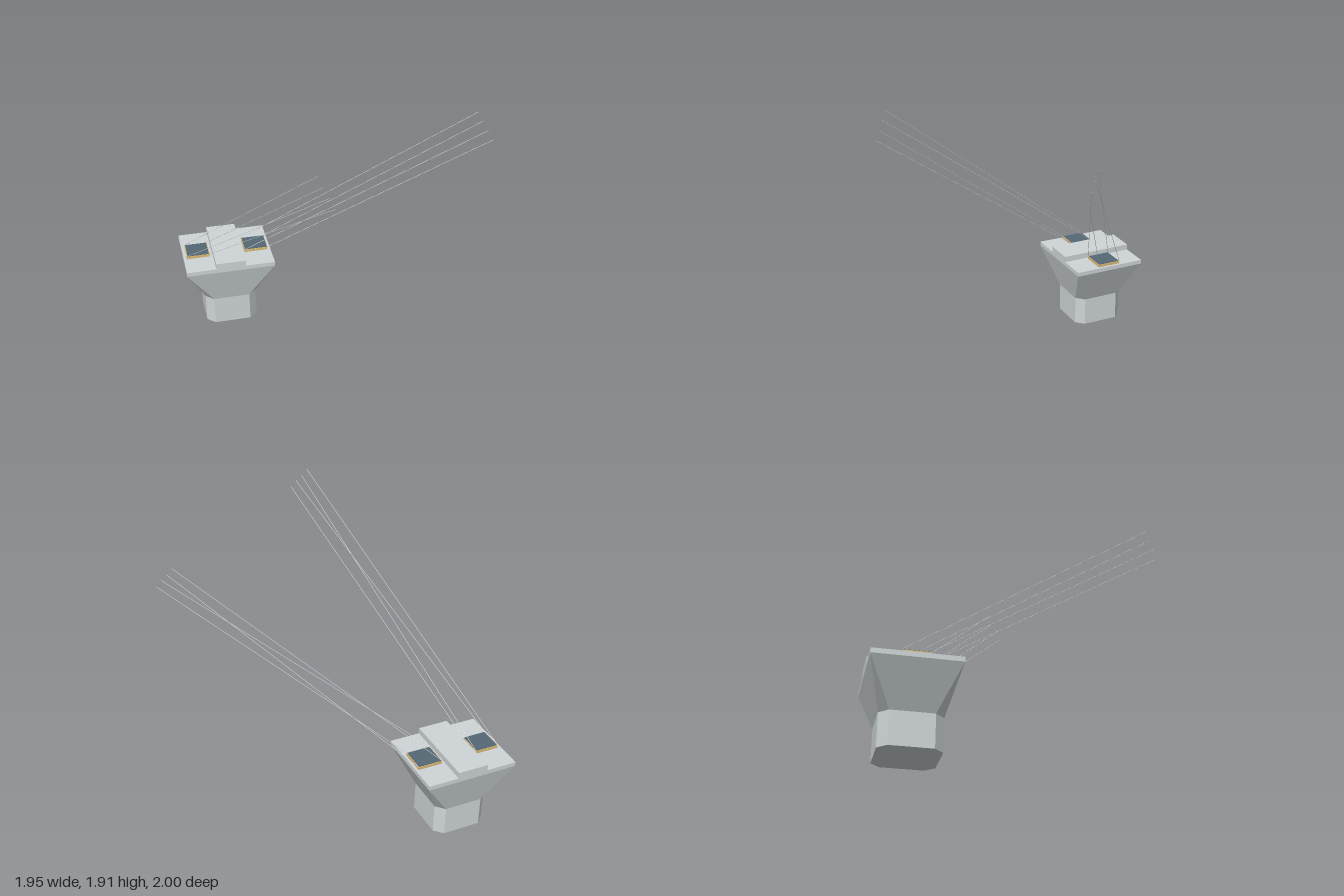
import * as THREE from 'three';

const mat = (name, color) => {
  const m = new THREE.MeshStandardMaterial({ color });
  m.name = name;
  return m;
};

export function createModel() {
  const concrete = mat('concrete', 0xcfd6d8);
  const gold = mat('gold', 0xdcbc78);
  const slate = mat('slate', 0x546875);
  const steel = mat('paleSteel', 0xdde1e3);
  concrete.flatShading = true;

  const model = new THREE.Group();
  const CX = -0.66, CZ = -0.736;

  const add = (name, geometry, material, parent = model) => {
    const mesh = new THREE.Mesh(geometry, material);
    mesh.name = name;
    parent.add(mesh);
    return mesh;
  };
  const box = (name, x0, x1, y0, y1, z0, z1, material, parent) =>
    add(name, new THREE.BoxGeometry(x1 - x0, y1 - y0, z1 - z0), material, parent)
      .position.set((x0 + x1) / 2, (y0 + y1) / 2, (z0 + z1) / 2);

  // Chamfered rectangle cross-section, eight points; no chamfer gives doubled corners
  const ring = (y, hx, hz, c) => [
    [hx, hz - c], [hx - c, hz], [c - hx, hz], [-hx, hz - c],
    [-hx, c - hz], [c - hx, -hz], [hx - c, -hz], [hx, c - hz],
  ].map(([x, z]) => new THREE.Vector3(CX + x, y, CZ + z));

  // Skin between two rings, skipping collapsed triangles
  const loft = (low, high, closeBottom) => {
    const pts = [];
    const tri = (a, b, c) => {
      if (a.distanceTo(b) > 1e-5 && b.distanceTo(c) > 1e-5 && c.distanceTo(a) > 1e-5) pts.push(a, b, c);
    };
    for (let i = 0; i < 8; i++) {
      const j = (i + 1) % 8;
      tri(low[i], high[j], low[j]);
      tri(low[i], high[i], high[j]);
      if (closeBottom && i > 0 && i < 7) tri(low[0], low[i], low[j]);
    }
    const g = new THREE.BufferGeometry().setFromPoints(pts);
    g.computeVertexNormals();
    return g;
  };

  // Pier: shaft, flared head, cap slab and raised middle block
  const base = ring(0, 0.184, 0.185, 0.055);
  const neck = ring(0.206, 0.184, 0.185, 0.055);
  const brim = ring(0.477, 0.314, 0.263, 0);
  add('shaft', loft(base, neck, true), concrete);
  add('flaredHead', loft(neck, brim, false), concrete);
  box('capSlab', CX - 0.314, CX + 0.314, 0.477, 0.507, CZ - 0.263, CZ + 0.263, concrete);
  box('middleBlock', CX - 0.105, CX + 0.105, 0.507, 0.549, CZ - 0.263, CZ + 0.263, concrete);

  // Each bearing pad has four wires; ends are ordered back then front, right then left
  const bearings = [
    { name: 'rightBearing', x: [-0.95, -0.787], z: [-0.82, -0.656],
      ends: [[-0.337, 1.905, 0.9], [-0.312, 1.85, 0.93], [-0.286, 1.8, 0.967], [-0.261, 1.747, 1.0]] },
    { name: 'leftBearing', x: [-0.535, -0.365], z: [-0.822, -0.654],
      ends: [[0.897, 1.781, 0.071], [0.924, 1.731, 0.103], [0.949, 1.678, 0.139], [0.974, 1.624, 0.169]] },
  ];
  const up = new THREE.Vector3(0, 1, 0);
  for (const { name, x, z, ends } of bearings) {
    const group = new THREE.Group();
    group.name = name;
    model.add(group);
    const i = 0.005;
    box('pad', x[0], x[1], 0.507, 0.526, z[0], z[1], gold, group);
    box('padPlate', x[0] + i, x[1] - i, 0.526, 0.53, z[0] + i, z[1] - i, slate, group);
    ends.forEach((e, k) => {
      const start = new THREE.Vector3(x[k % 2], 0.528, z[k >> 1]);
      const end = new THREE.Vector3(...e);
      const dir = end.clone().sub(start);
      const wire = add('wire', new THREE.CylinderGeometry(0.0015, 0.0015, dir.length(), 16), steel, group);
      wire.position.copy(start).addScaledVector(dir, 0.5);
      wire.quaternion.setFromUnitVectors(up, dir.normalize());
    });
  }
  return model;
}
